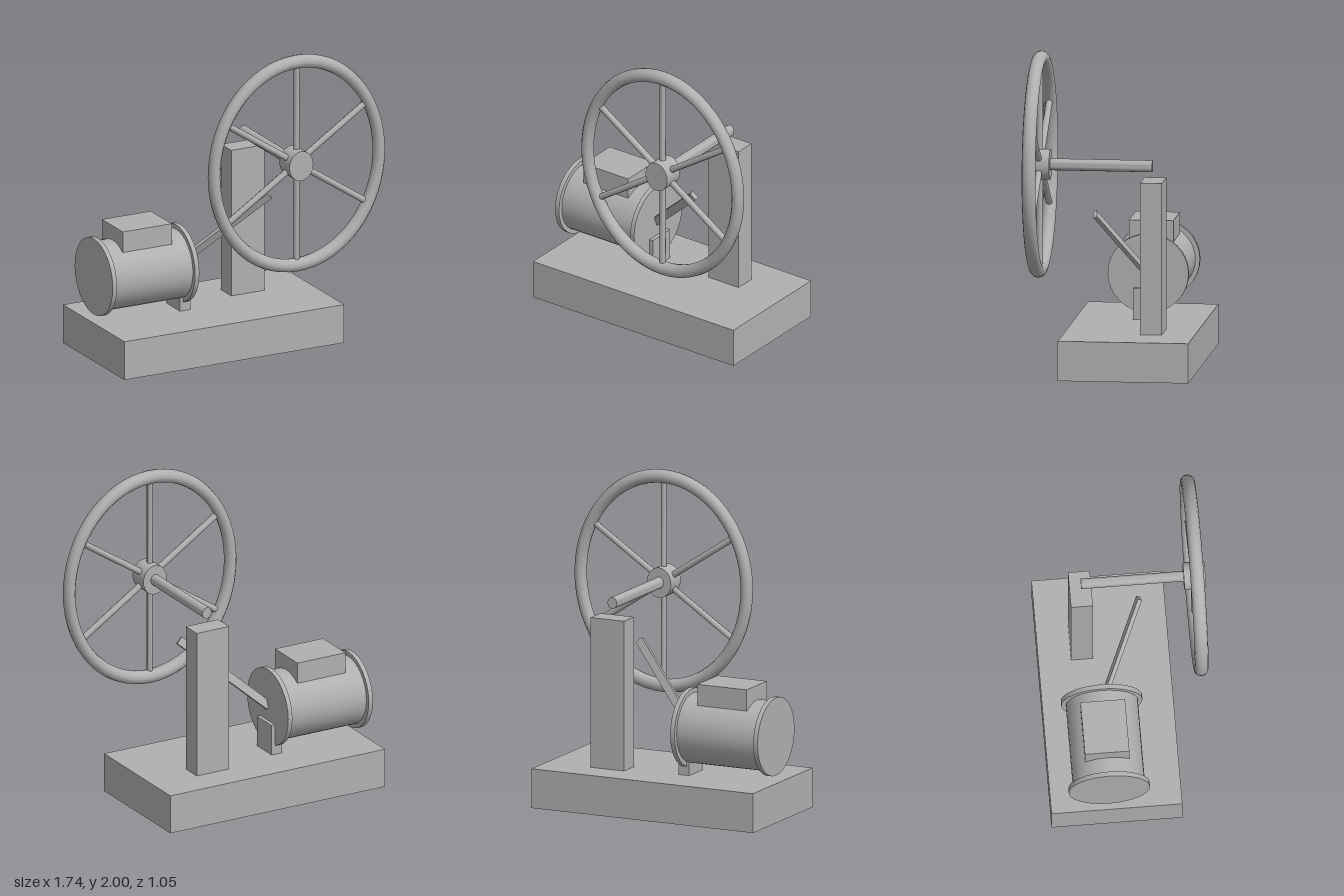
import * as THREE from 'three';
import { toCreasedNormals } from 'three/addons/utils/BufferGeometryUtils.js';

export function createModel() {
  const model = new THREE.Group();
  model.name = 'motorAndFlywheel';
  const metal = new THREE.MeshStandardMaterial({ color: 0xb0b0b0 });
  metal.name = 'grey metal';

  const add = (parent, name, geometry, x = 0, y = 0, z = 0) => {
    const mesh = new THREE.Mesh(geometry, metal);
    mesh.name = name;
    mesh.position.set(x, y, z);
    parent.add(mesh);
    return mesh;
  };

  // box given by its lower and upper corners
  const block = (name, [x0, y0, z0], [x1, y1, z1]) =>
    add(model, name, new THREE.BoxGeometry(x1 - x0, y1 - y0, z1 - z0),
      (x0 + x1) / 2, (y0 + y1) / 2, (z0 + z1) / 2);

  const rod = (radius, length, sides = 32) =>
    toCreasedNormals(new THREE.CylinderGeometry(radius, radius, length, sides), 0.9);

  // base, post and motor support
  block('base', [-0.87, 0, -0.523], [0.673, 0.25, 0.292]);
  block('post', [0.132, 0.25, -0.32], [0.364, 1.203, -0.184]);
  block('motorSupport', [-0.288, 0.25, -0.253], [-0.213, 0.447, -0.07]);

  // motor: drum with an end flange on each side and a terminal box on top
  const motor = new THREE.Group();
  motor.name = 'motor';
  motor.position.set(-0.542, 0.538, -0.161);
  motor.scale.z = 1.02;
  model.add(motor);
  add(motor, 'motorDrum', rod(0.22, 0.57).rotateZ(Math.PI / 2));
  for (const side of [-1, 1]) {
    add(motor, 'motorFlange', rod(0.248, 0.03).rotateZ(Math.PI / 2), side * 0.289);
  }
  block('terminalBox', [-0.714, 0.715, -0.302], [-0.37, 0.85, -0.025]);

  // slanted arm from the motor towards the wheel shaft
  const start = new THREE.Vector3(-0.25, 0.537, -0.153);
  const end = new THREE.Vector3(0.24, 0.983, 0.112);
  const along = end.clone().sub(start);
  const arm = add(model, 'arm', new THREE.BoxGeometry(0.052, along.length(), 0.026));
  arm.position.copy(start).add(end).multiplyScalar(0.5);
  arm.quaternion.setFromUnitVectors(new THREE.Vector3(0, 1, 0), along.normalize());

  // slightly oval flywheel on its shaft
  const wheel = new THREE.Group();
  wheel.name = 'flywheel';
  wheel.position.set(0.25, 1.292, 0.456);
  wheel.scale.x = 0.87;
  model.add(wheel);
  add(wheel, 'rim', new THREE.TorusGeometry(0.665, 0.043, 12, 64));
  add(wheel, 'hub', rod(0.096, 0.134).rotateX(Math.PI / 2));
  add(wheel, 'shaft', rod(0.037, 0.705, 24).rotateX(Math.PI / 2), 0, 0, -0.3525);
  for (let i = 0; i < 6; i++) {
    const spoke = rod(0.021, 0.58, 8).translate(0, 0.345, 0);
    add(wheel, 'spoke', spoke.rotateZ(i * Math.PI / 3));
  }
  return model;
}
